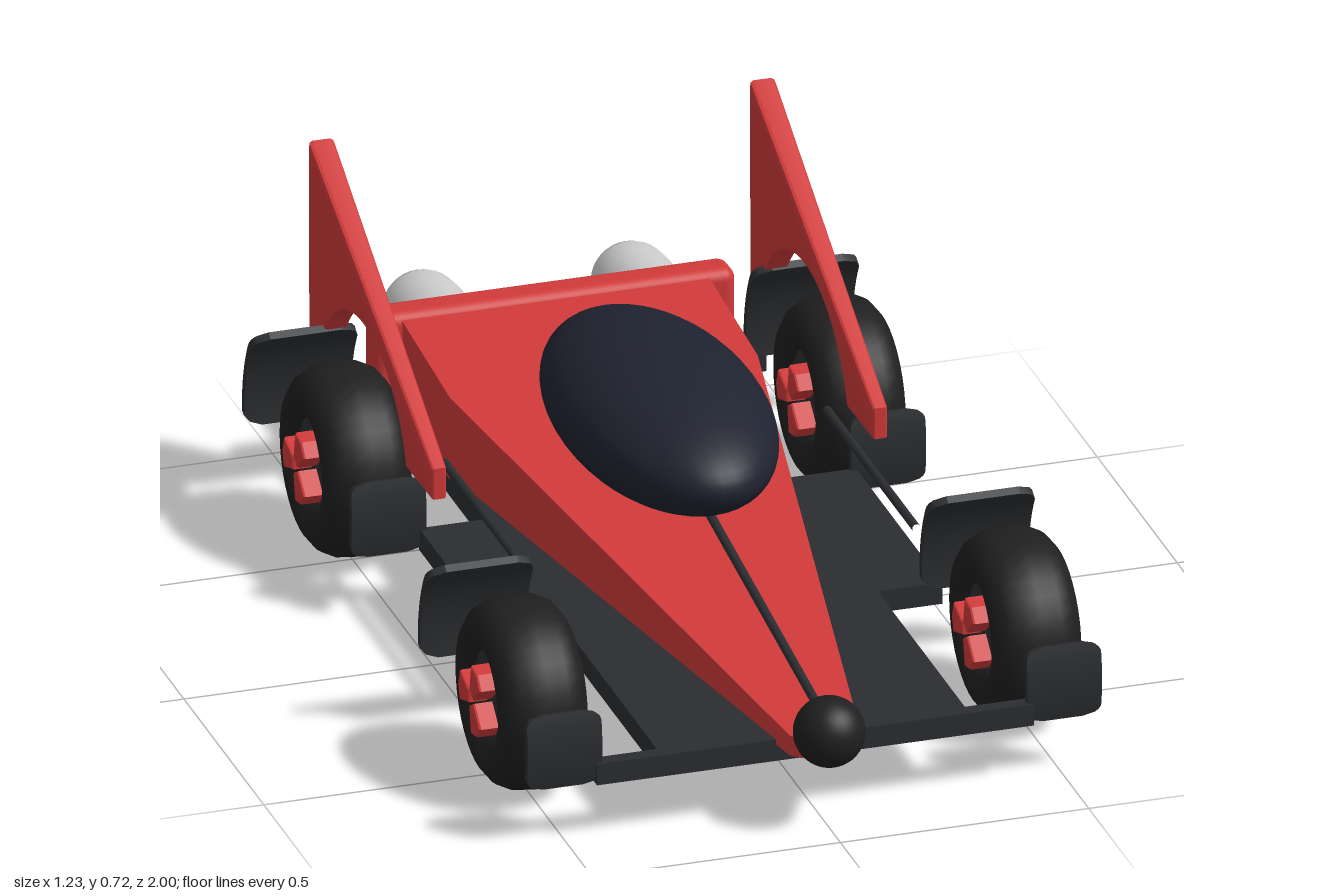
import * as THREE from 'three';
import { RoundedBoxGeometry } from 'three/addons/geometries/RoundedBoxGeometry.js';
import { toCreasedNormals } from 'three/addons/utils/BufferGeometryUtils.js';

const mat = (color) => new THREE.MeshStandardMaterial({ color });
const red = mat(0xd03a3a), rubber = mat(0x1f1f1f), dark = mat(0x2b2d30);
const glass = mat(0x1f2330), grey = mat(0xcccccc);

const WHEEL_X = 0.497, WHEEL_Y = 0.195, WHEEL_Z = 0.55;

function part(parent, name, geometry, material, x = 0, y = 0, z = 0) {
  const mesh = new THREE.Mesh(geometry, material);
  mesh.name = name;
  mesh.position.set(x, y, z);
  parent.add(mesh);
  return mesh;
}

// Moves every vertex by a rule, then rebuilds the normals
function reshape(geometry, rule) {
  const p = geometry.attributes.position, v = new THREE.Vector3();
  for (let i = 0; i < p.count; i++) {
    rule(v.fromBufferAttribute(p, i));
    p.setXYZ(i, v.x, v.y, v.z);
  }
  geometry.computeVertexNormals();
  return geometry;
}

const outline = (pts) => new THREE.Shape(pts.map(([a, b]) => new THREE.Vector2(a, b)));

// Symmetric (x, z) half outline, laid flat with its underside on y = 0
function slab(half, depth) {
  const pts = [...half, ...half.map(([x, z]) => [-x, z]).reverse()];
  const g = new THREE.ExtrudeGeometry(outline(pts), { depth, bevelEnabled: false });
  return g.rotateX(Math.PI / 2).translate(0, depth, 0);
}

// (z, y) outline, thickened along x and centred on x = 0
function plate(shape, depth, bevel = 0) {
  const g = new THREE.ExtrudeGeometry(shape, {
    depth: depth - 2 * bevel, bevelEnabled: bevel > 0, bevelSize: bevel, bevelOffset: -bevel,
    bevelThickness: bevel, bevelSegments: 2, curveSegments: 28,
  });
  return g.rotateY(-Math.PI / 2).translate(depth / 2 - bevel, 0, 0);
}

function rod(parent, name, a, b, radius, material) {
  const curve = new THREE.LineCurve3(new THREE.Vector3(...a), new THREE.Vector3(...b));
  part(parent, name, new THREE.TubeGeometry(curve, 1, radius, 10), material);
}

// Rounded plate bent around the wheel centre, between two angles
function guardGeometry(width, from, to) {
  return reshape(new THREE.BoxGeometry(1, 1, 0.016, 4, 24, 1), (v) => {
    const u = Math.max(0, (Math.abs(v.y) * 2 - 0.7) / 0.3);
    const w = width - 0.07 * (1 - Math.sqrt(Math.max(0, 1 - u * u)));
    const a = THREE.MathUtils.degToRad(THREE.MathUtils.lerp(from, to, v.y + 0.5));
    const r = 0.283 + v.z;
    v.set(v.x * w, r * Math.sin(a), r * Math.cos(a));
  });
}

function createWheel() {
  const wheel = new THREE.Group();
  // Fat tyre with a rounded tread
  const profile = [[0.085, -0.06], [0.1, -0.078], [0.125, -0.088], [0.15, -0.085], [0.172, -0.068],
    [0.186, -0.04], [0.19, 0], [0.186, 0.04], [0.172, 0.068], [0.15, 0.085], [0.125, 0.088],
    [0.1, 0.078], [0.085, 0.06]].map(([r, h]) => new THREE.Vector2(r, h));
  part(wheel, 'tyre', new THREE.LatheGeometry(profile, 36).rotateZ(Math.PI / 2), rubber);
  part(wheel, 'hubDisc', new THREE.CylinderGeometry(0.09, 0.09, 0.13, 28).rotateZ(Math.PI / 2), dark);
  // Three wedge spokes
  for (let i = 0; i < 3; i++) {
    const wedge = outline([[-0.012, -0.014], [-0.012, 0.014], [-0.065, 0.032], [-0.076, 0], [-0.065, -0.032]].reverse());
    part(wheel, 'spoke', plate(wedge, 0.21, 0.005), red).rotation.x = i * Math.PI * 2 / 3;
  }
  return wheel;
}

export function createModel() {
  const car = new THREE.Group();
  car.name = 'racingCar';

  // Floor with front bar, side boards and rear bar
  part(car, 'floor', slab([[0.44, 0.845], [0.44, 0.815], [0.31, 0.815], [0.31, 0.27], [0.44, 0.27],
    [0.44, -0.27], [0.31, -0.27], [0.31, -0.83], [0.44, -0.83], [0.44, -0.87]], 0.045), dark, 0, 0.12, 0);

  // Wedge body: height grows from nose to tail
  const body = reshape(slab([[0.05, 0.92], [0.07, 0.9], [0.31, -0.48], [0.31, -0.84]], 1), (v) => {
    v.y *= THREE.MathUtils.mapLinear(v.z, 0.92, -0.84, 0.04, 0.208);
  });
  part(car, 'body', body, red, 0, 0.155, 0);
  part(car, 'tailBlock', new RoundedBoxGeometry(0.73, 0.21, 0.078, 4, 0.025), red, 0, 0.265, -0.816);

  // Canopy, nose ball and the rod between them
  part(car, 'canopy', new THREE.SphereGeometry(1, 48, 32).scale(0.203, 0.13, 0.406), glass, 0, 0.413, -0.133);
  part(car, 'noseBall', new THREE.SphereGeometry(0.07, 32, 20), rubber, 0, 0.209, 0.93);
  rod(car, 'noseRod', [0, 0.225, 0.9], [0, 0.335, 0.18], 0.009, dark);

  // Tail fin with a wheel arch, thicker towards the back
  const fin = new THREE.Shape();
  fin.moveTo(-0.13, 0.29);
  fin.lineTo(-0.13, 0.355);
  fin.lineTo(-0.87, 0.72);
  fin.lineTo(-0.87, 0.165);
  fin.lineTo(-0.828, 0.165);
  fin.absarc(-WHEEL_Z, 0.2, 0.277, Math.PI, 0.33, true);
  fin.closePath();
  const finGeometry = toCreasedNormals(reshape(plate(fin, 0.052, 0.008), (v) => {
    v.x *= THREE.MathUtils.mapLinear(v.z, -0.13, -0.87, 0.6, 1);
  }), 0.5);

  const rearGuard = guardGeometry(0.215, -8, 37);
  const frontGuard = guardGeometry(0.15, -15, 16);
  const nozzle = [[0.055, -0.1], [0.06, -0.14], [0.07, -0.145], [0.078, -0.125], [0.083, -0.08],
    [0.083, 0.01]].map(([r, h]) => new THREE.Vector2(r, h));

  for (const side of [-1, 1]) {
    const label = side > 0 ? 'left' : 'right';
    part(car, label + 'Fin', finGeometry, red, side * 0.444, 0, 0);
    rod(car, label + 'SideRod', [side * 0.385, 0.292, 0.28], [side * 0.385, 0.292, -0.28], 0.009, dark);

    // Exhaust with a dark outlet
    const exhaust = new THREE.Group();
    exhaust.name = label + 'Exhaust';
    exhaust.position.set(side * 0.21, 0.285, -0.85);
    part(exhaust, 'nozzle', new THREE.LatheGeometry(nozzle, 32).rotateX(Math.PI / 2),
      new THREE.MeshStandardMaterial({ color: grey.color, side: THREE.DoubleSide }));
    part(exhaust, 'outlet', new THREE.CylinderGeometry(0.056, 0.056, 0.06, 28).rotateX(Math.PI / 2), rubber, 0, 0, -0.12);
    car.add(exhaust);

    // Wheels, each with a guard ahead and behind
    for (const end of [-1, 1]) {
      const place = label + (end > 0 ? 'Front' : 'Rear');
      const wheel = createWheel();
      wheel.name = place + 'Wheel';
      wheel.position.set(side * WHEEL_X, WHEEL_Y, end * WHEEL_Z);
      car.add(wheel);
      part(car, place + 'LeadingGuard', frontGuard, dark, side * 0.503, WHEEL_Y, end * WHEEL_Z);
      part(car, place + 'TrailingGuard', rearGuard, dark, side * 0.505, WHEEL_Y, end * WHEEL_Z).rotation.y = Math.PI;
    }
  }
  return car;
}
